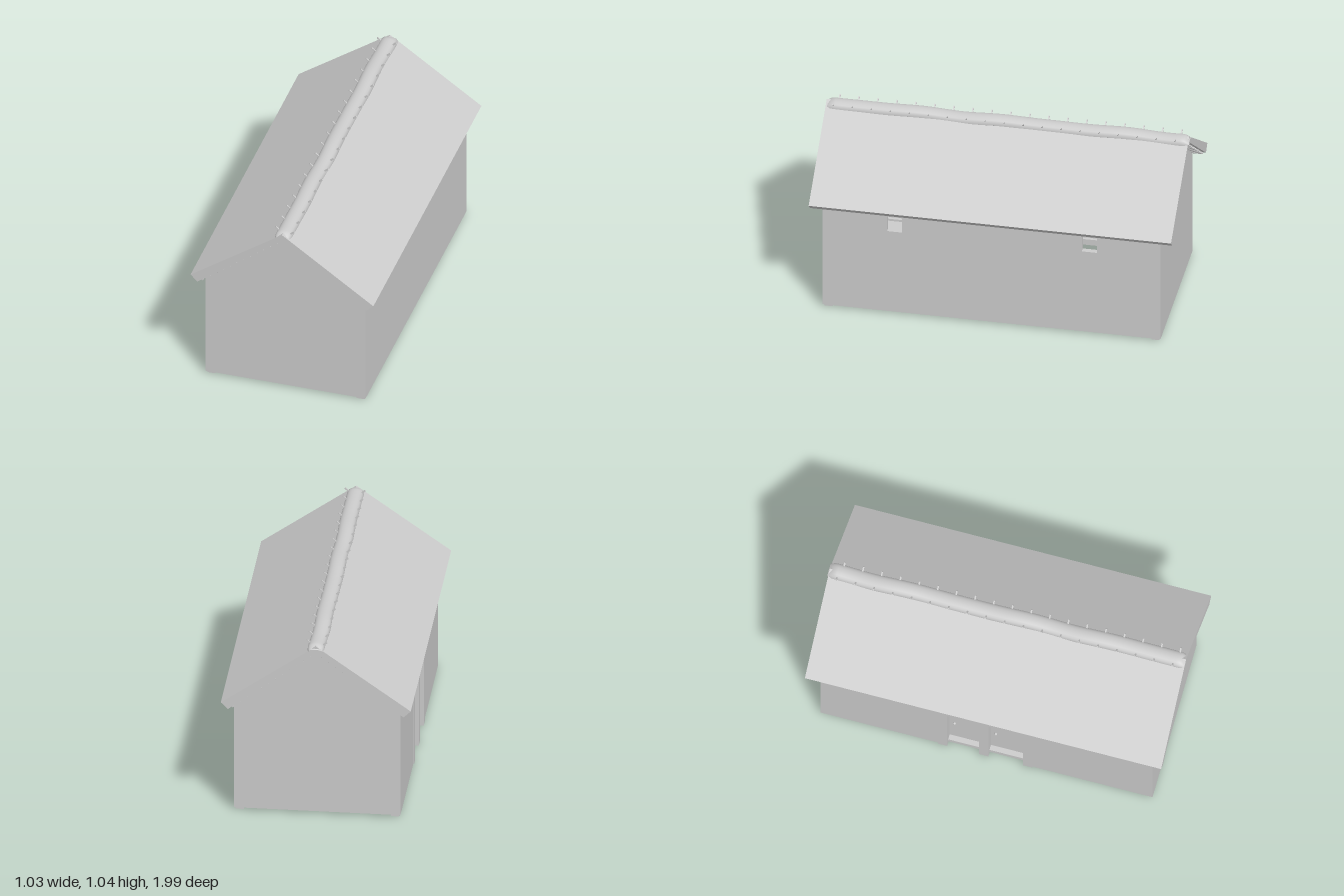
import * as THREE from 'three';

const Z0 = -0.92, Z1 = 0.93, XL = 0.45, BASE = 0.012;

export function createModel() {
  const model = new THREE.Group();
  model.name = 'thatchedBarn';
  const mat = new THREE.MeshStandardMaterial({ color: 0xcccccc });

  const add = (name, geo, m = mat) => {
    const mesh = new THREE.Mesh(geo, m);
    mesh.name = name;
    model.add(mesh);
    return mesh;
  };
  // box given by its min and max corners
  const block = (name, x0, x1, y0, y1, z0, z1) => {
    const geo = new THREE.BoxGeometry(x1 - x0, y1 - y0, z1 - z0);
    geo.translate((x0 + x1) / 2, (y0 + y1) / 2, (z0 + z1) / 2);
    return add(name, geo);
  };
  // square timber between two points
  const beam = (name, a, b, w = 0.035) => {
    const p = new THREE.Vector3(...a), q = new THREE.Vector3(...b);
    const mesh = add(name, new THREE.BoxGeometry(w, w, p.distanceTo(q)));
    mesh.position.copy(p).add(q).multiplyScalar(0.5);
    mesh.lookAt(q);
    return mesh;
  };
  const polygon = (pts, Kind = THREE.Shape) => new Kind(pts.map(p => new THREE.Vector2(...p)));
  const extrude = (shape, depth) => new THREE.ExtrudeGeometry(shape, { depth, bevelEnabled: false });

  // Roof slab, slightly thicker at the eaves
  const half = [[0.514, 0.67], [0.475, 0.632], [0.018, 0.98]];
  const mirrored = half.map(([x, y]) => [-x, y]).reverse();
  const roof = extrude(polygon([[0, 1.031], ...mirrored.slice().reverse(), ...half.slice().reverse()]), 1.985);
  roof.translate(0, 0, -0.99);
  add('roof', roof);

  // Gable end walls
  const gable = polygon([[-XL, BASE], [XL, BASE], [XL, 0.648], [0.02, 0.982], [-0.02, 0.982], [-XL, 0.648]]);
  for (const [name, z] of [['frontGable', Z1 - 0.03], ['backGable', Z0]]) {
    add(name, extrude(gable, 0.03).translate(0, 0, z));
  }

  // Long side walls; outlines are in (z, y)
  const sideWall = (name, outline, windows, x) => {
    const shape = polygon(outline);
    for (const [z, r] of windows) {
      shape.holes.push(polygon([[z - r, 0.52], [z - r, 0.63], [z + r, 0.63], [z + r, 0.52]], THREE.Path));
    }
    add(name, extrude(shape, 0.03).rotateY(-Math.PI / 2).translate(x, 0, 0));
  };
  const outer = [[0.537, 0.041], [-0.53, 0.041]];
  const inner = [-0.185, -0.065, 0.06, 0.18].map(z => [z, 0.034]);
  sideWall('leftWall', [[Z0, BASE], [Z1, BASE], [Z1, 0.648], [Z0, 0.648]], outer, XL);
  sideWall('rightWall', [[Z0, BASE], [-0.23, BASE], [-0.23, 0.48], [0.22, 0.48],
    [0.22, BASE], [Z1, BASE], [Z1, 0.648], [Z0, 0.648]], [...outer, ...inner], -XL + 0.03);

  // Recessed doorways with posts, lintel, sill and doors
  for (const z of [-0.24, -0.01, 0.235]) {
    block('doorPost', -0.452, -0.38, 0, 0.5, z - 0.026, z + 0.026);
  }
  block('lintel', -0.451, -0.38, 0.465, 0.515, -0.26, 0.25);
  for (const [z0, z1] of [[-0.216, -0.034], [0.014, 0.211]]) {
    block('door', -0.4, -0.385, 0.04, 0.467, z0, z1);
    block('doorSill', -0.43, -0.38, 0.015, 0.045, z0, z1);
    for (const y of [0.12, 0.38]) block('doorBatten', -0.387, -0.377, y, y + 0.03, z0 + 0.01, z1 - 0.01);
    const knob = add('doorKnob', new THREE.SphereGeometry(0.009, 10, 8));
    knob.position.set(-0.405, 0.25, z0 + 0.03);
  }

  // Floor of the front room and the dividing wall behind it
  block('floor', -XL + 0.004, XL - 0.004, BASE, 0.035, 0.22, Z1 - 0.004);
  block('floor', -0.39, XL - 0.004, BASE, 0.035, -0.03, 0.23);
  block('partition', -0.425, 0.425, BASE, 0.64, -0.03, -0.01);

  // Timber frame against the inside of the walls
  const xf = XL - 0.03, f0 = Z0 + 0.03, f1 = Z1 - 0.03;
  for (const s of [-1, 1]) {
    for (const z of [f0, f1]) {
      block('cornerPost', s * xf - 0.022, s * xf + 0.022, 0, 0.64, z - 0.022, z + 0.022);
      const zi = z > 0 ? 0.25 : -0.25;
      beam('sideBrace', [s * xf, 0.48, z], [s * xf, 0.04, zi], 0.03);
      beam('gableBrace', [s * xf, 0.48, z], [s * 0.03, 0.04, z], 0.03);
      beam('groundSill', [s * xf, 0.03, z], [s * xf, 0.03, zi]);
      beam('sideRail', [s * xf, 0.49, z], [s * xf, 0.49, zi]);
    }
    beam('wallPlate', [s * xf, 0.645, f0], [s * xf, 0.645, f1], 0.025);
  }
  for (const z of [-0.24, -0.01, 0.235]) beam('sidePost', [xf, 0.03, z], [xf, 0.64, z]);
  beam('sideRail', [xf, 0.49, -0.25], [xf, 0.49, 0.25]);
  beam('groundSill', [xf, 0.03, -0.25], [xf, 0.03, 0.25]);
  for (const z of [f0, f1]) {
    beam('gableSill', [-xf, 0.03, z], [xf, 0.03, z]);
    beam('gableRail', [-xf, 0.49, z], [xf, 0.49, z]);
    beam('tieBeam', [-xf, 0.65, z], [xf, 0.65, z]);
    beam('gablePost', [0.005, 0.03, z], [0.005, 0.94, z]);
  }
  for (const z of [-0.24, 0.235]) beam('tieBeam', [-xf, 0.65, z], [xf, 0.65, z]);
  beam('partitionBrace', [0.36, 0.05, -0.035], [-0.1, 0.6, -0.035], 0.02);

  // Ladder leaning on the dividing wall
  for (const x of [0.15, 0.25]) beam('ladderRail', [x, 0.02, -0.2], [x, 0.64, -0.05], 0.014);
  for (let i = 1; i < 9; i++) {
    const t = i / 9;
    beam('ladderRung', [0.15, 0.02 + 0.62 * t, -0.2 + 0.15 * t], [0.25, 0.02 + 0.62 * t, -0.2 + 0.15 * t], 0.01);
  }

  // Roof battens under the slopes, showing at the gables
  for (const s of [-1, 1]) {
    for (let i = 0; i < 12; i++) {
      const x = 0.45 - i * 0.0376;
      const batten = add('roofBatten', new THREE.CylinderGeometry(0.006, 0.006, 1.96, 8));
      batten.rotation.x = Math.PI / 2;
      batten.position.set(s * x, 0.647 + (0.45 - x) * 0.761 - 0.004, 0.003);
    }
  }

  // Wavy ridge roll with rounded ends
  const wave = z => 0.004 * Math.cos(z * 11) + 0.002 * Math.sin(z * 17);
  const ridge = new THREE.CylinderGeometry(1, 1, 1.99, 20, 80).rotateX(Math.PI / 2);
  const pos = ridge.attributes.position;
  for (let i = 0; i < pos.count; i++) {
    const x = pos.getX(i), y = pos.getY(i), z = pos.getZ(i);
    const e = Math.max(0, (Math.abs(z) - 0.955) / 0.04);
    const k = Math.sqrt(Math.max(0.15, 1 - e * e));
    pos.setXYZ(i, x * 0.046 * (0.7 + 0.3 * k) + wave(z + 1) * 0.5,
      0.998 + (y > 0 ? Math.pow(y, 0.8) * 0.038 * k : y * 0.008) + wave(z) * 0.7, z);
  }
  ridge.computeVertexNormals();
  add('ridgeRoll', ridge);

  // Pegs pinning the ridge roll
  for (const s of [-1, 1]) {
    for (let i = 0; i < 19; i++) {
      const z = -0.94 + i * 0.104 + (s > 0 ? 0.02 : 0);
      beam('ridgePeg', [s * 0.024, 1.008, z], [s * 0.056, 1.034, z], 0.008);
    }
  }
  return model;
}
